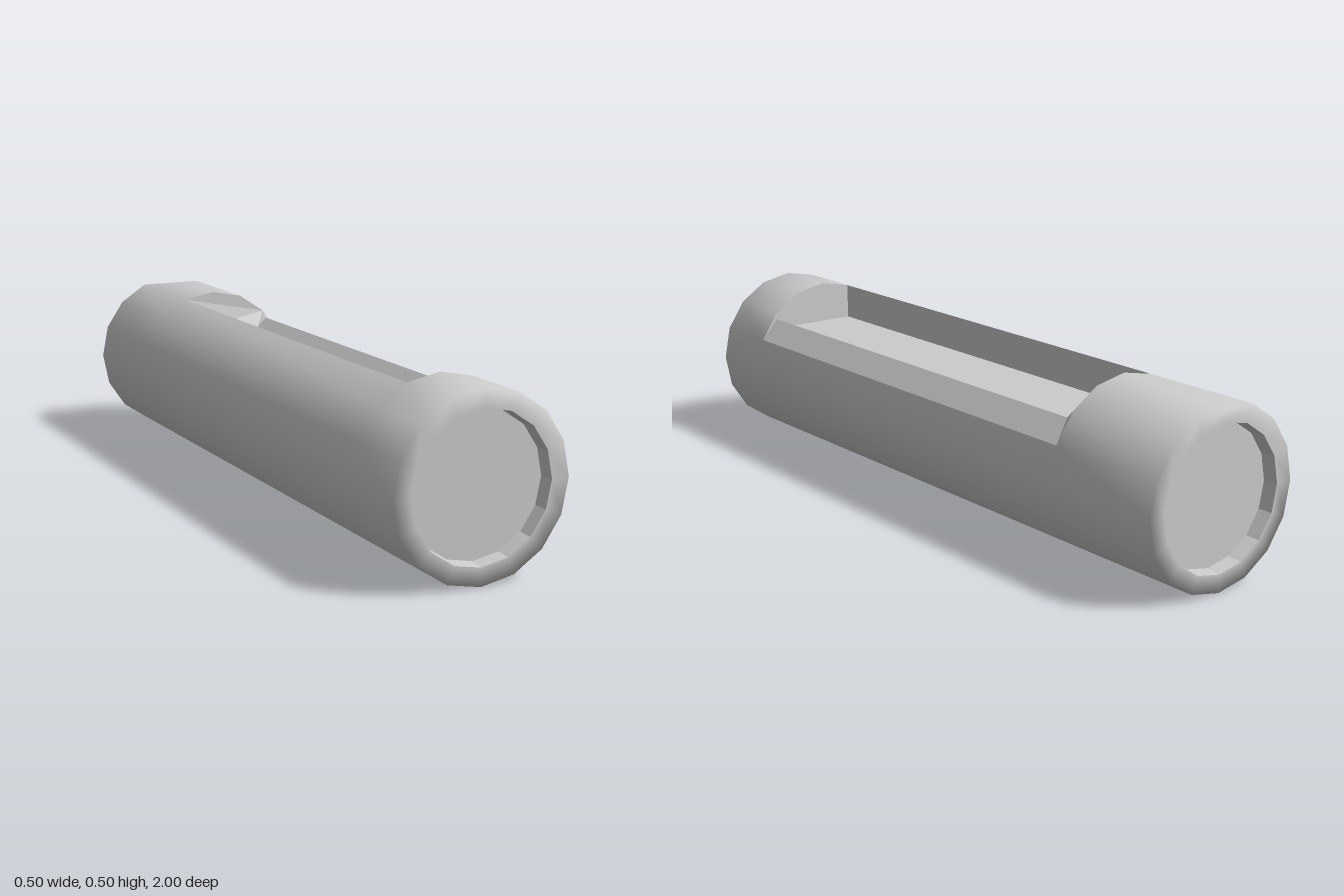
import * as THREE from 'three';

const SIDES = 16, R = 0.25, FRONT = 0.79, BACK = -0.635;
const smooth = new THREE.MeshStandardMaterial({ color: 0xcccccc });
const flat = new THREE.MeshStandardMaterial({ color: 0xcccccc, flatShading: true, side: THREE.DoubleSide });

// Point k of a ring, counted from the top towards +x
function ringPoint(r, z, k) {
  const a = (k / SIDES) * Math.PI * 2;
  return [r * Math.sin(a), R + r * Math.cos(a), z];
}

function makeMesh(name, positions, index, material) {
  const g = new THREE.BufferGeometry();
  g.setAttribute('position', new THREE.Float32BufferAttribute(positions, 3));
  g.setIndex(index);
  g.computeVertexNormals();
  const mesh = new THREE.Mesh(g, material);
  mesh.name = name;
  return mesh;
}

// Skin over a row of rings [radius, z]; skip(row, column) leaves an opening
function loft(name, rings, material, skip = () => false, adjust = () => {}) {
  const pos = [], index = [];
  rings.forEach(([r, z], i) => {
    for (let k = 0; k < SIDES; k++) {
      const p = ringPoint(r, z, k);
      adjust(p, i, k);
      pos.push(...p);
    }
  });
  for (let i = 0; i < rings.length - 1; i++) {
    for (let k = 0; k < SIDES; k++) {
      if (skip(i, k)) continue;
      const n = (k + 1) % SIDES;
      const a = i * SIDES + k, b = i * SIDES + n, c = b + SIDES, d = a + SIDES;
      index.push(a, b, c, a, c, d);
    }
  }
  return makeMesh(name, pos, index, material);
}

export function createModel() {
  const group = new THREE.Group();

  // Tube with end rims, open where the slot is; its back end dips at the top
  group.add(loft('tubeBody',
    [[0.2, 1], [R, 1], [R, FRONT], [R, BACK], [R, -1], [0.2, -1]], smooth,
    (row, k) => row === 2 && (k === 15 || k < 3),
    (p, row, k) => { if (row === 4 && k === 0) p[1] = 0.481; }));

  // Shallow recessed caps
  group.add(loft('frontCap', [[0, 0.96], [0.195, 0.96], [0.2, 1]], flat));
  group.add(loft('backCap', [[0.2, -1], [0.195, -0.96], [0, -0.96]], flat));

  // Slot: tall wall, floor, low sloped lip and the strip down to the tube
  const left = ringPoint(R, 0, 15), right = ringPoint(R, 0, 3);
  const section = [left, [left[0], 0.376], [0.145, 0.376], [0.178, 0.406], right];
  const backZ = [BACK, -0.61, -0.61, -0.615, BACK];
  const frontPts = section.map(([x, y]) => [x, y, FRONT]);
  const backPts = section.map(([x, y], i) => [x, y, backZ[i]]);
  ['slotWall', 'slotFloor', 'slotLip', 'slotEdge'].forEach((name, i) => {
    const corners = [frontPts[i], frontPts[i + 1], backPts[i + 1], backPts[i]];
    group.add(makeMesh(name, corners.flat(), [0, 1, 2, 0, 2, 3], flat));
  });

  // End walls of the slot, fanned from the tube's upper right corner
  const endWall = (name, pts, z, flip) => {
    const fan = [ringPoint(R, z, 2), ...[...pts].reverse(), ringPoint(R, z, 0), ringPoint(R, z, 1)];
    const index = [];
    for (let i = 1; i < fan.length - 1; i++) index.push(0, flip ? i + 1 : i, flip ? i : i + 1);
    group.add(makeMesh(name, fan.flat(), index, flat));
  };
  endWall('slotFrontEnd', frontPts, FRONT, false);
  endWall('slotBackEnd', backPts, BACK, true);

  return group;
}
